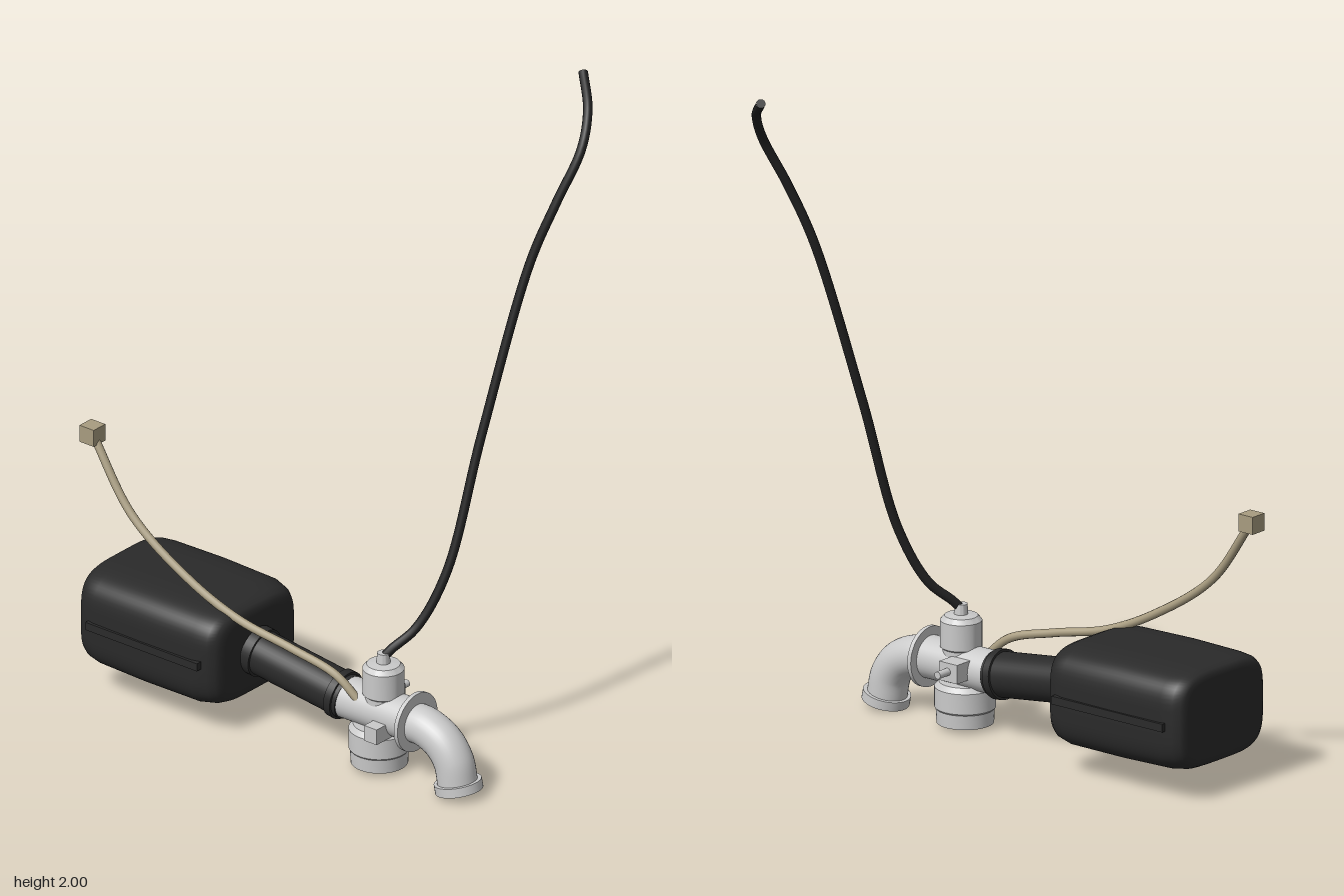
import * as THREE from 'three';
import { toCreasedNormals } from 'three/addons/utils/BufferGeometryUtils.js';

const V = (x, y, z) => new THREE.Vector3(x, y, z);
const Z0 = 0.243; // shared centre plane of filter, duct and carburettor

export function createModel() {
  const group = new THREE.Group();
  const rubber = new THREE.MeshStandardMaterial({ name: 'black rubber', color: 0x2a2a2a });
  const cableBlack = new THREE.MeshStandardMaterial({ name: 'black cable', color: 0x222222 });
  const metal = new THREE.MeshStandardMaterial({ name: 'light grey metal', color: 0xcacaca });
  const beige = new THREE.MeshStandardMaterial({ name: 'beige hose', color: 0xa89c80 });

  const add = (name, geometry, material) => {
    const mesh = new THREE.Mesh(geometry, material);
    mesh.name = name;
    group.add(mesh);
    return mesh;
  };
  const box = (name, w, h, d, x, y, z, material) =>
    add(name, new THREE.BoxGeometry(w, h, d), material).position.set(x, y, z);
  // Cylinder running between two points
  const rod = (name, a, b, r, material) => {
    const dir = b.clone().sub(a);
    const mesh = add(name, new THREE.CylinderGeometry(r, r, dir.length(), 40), material);
    mesh.position.copy(a).add(b).multiplyScalar(0.5);
    mesh.quaternion.setFromUnitVectors(V(0, 1, 0), dir.normalize());
  };
  // Upright turned part from [radius, y] pairs
  const turned = (name, profile, x) => {
    const points = profile.map(([r, y]) => new THREE.Vector2(r, y));
    const geometry = toCreasedNormals(new THREE.LatheGeometry(points, 40), 0.5);
    add(name, geometry, metal).position.set(x, 0, Z0);
  };
  // Round hose through points, with closed ends
  const hose = (name, points, r, material) => {
    const curve = new THREE.CatmullRomCurve3(points.map((p) => V(...p)));
    add(name, new THREE.TubeGeometry(curve, 90, r, 12), material);
    for (const t of [0, 1]) {
      const cap = add(name + 'End', new THREE.CircleGeometry(r, 12), material);
      cap.position.copy(curve.getPoint(t));
      cap.quaternion.setFromUnitVectors(V(0, 0, 1), curve.getTangent(t).multiplyScalar(t ? 1 : -1));
    }
  };

  // Air filter box: rounded sections [x, centre y, half height, half depth]
  add('airFilterBox', loft([
    [-0.638, 0.24, 0.115, 0.155], [-0.637, 0.24, 0.128, 0.172], [-0.63, 0.24, 0.139, 0.184],
    [-0.61, 0.238, 0.146, 0.196], [-0.57, 0.236, 0.15, 0.204], [-0.4, 0.235, 0.153, 0.207],
    [-0.21, 0.233, 0.151, 0.204], [-0.165, 0.232, 0.143, 0.191], [-0.145, 0.232, 0.135, 0.176],
    [-0.138, 0.232, 0.122, 0.16], [-0.136, 0.232, 0.105, 0.14],
  ]), rubber);
  for (const side of [-1, 1])
    box('filterSideRib', 0.41, 0.024, 0.03, -0.385, 0.236, Z0 + side * 0.198, rubber);

  // Intake duct with a clamp at each end
  const ductStart = V(-0.16, 0.229, Z0), ductEnd = V(0.205, 0.183, Z0);
  const along = (t) => ductStart.clone().lerp(ductEnd, t);
  rod('intakeDuct', ductStart, ductEnd, 0.066, rubber);
  rod('ductClamp', along(0.06), along(0.145), 0.073, rubber);
  rod('ductClamp', along(0.9), along(0.965), 0.073, rubber);

  // Carburettor
  rod('carburettorBody', V(0.195, 0.185, Z0), V(0.445, 0.185, Z0), 0.063, metal);
  turned('floatBowl', [[0, 0.018], [0.082, 0.018], [0.084, 0.06], [0.088, 0.065],
    [0.088, 0.125], [0.075, 0.14], [0, 0.14]], 0.315);
  turned('throttleTop', [[0, 0.15], [0.054, 0.15], [0.054, 0.235], [0.06, 0.24],
    [0.06, 0.318], [0.048, 0.332], [0.02, 0.336], [0.018, 0.366], [0, 0.366]], 0.33);
  box('idleBlock', 0.046, 0.048, 0.07, 0.367, 0.155, 0.311, metal);
  box('chokeBlock', 0.066, 0.056, 0.07, 0.288, 0.195, 0.17, metal);
  rod('chokeLever', V(0.29, 0.197, 0.15), V(0.29, 0.197, 0.09), 0.011, metal);

  // Intake manifold
  rod('manifoldFlange', V(0.442, 0.185, Z0), V(0.455, 0.185, Z0), 0.089, metal);
  const elbow = new THREE.CatmullRomCurve3([V(0.44, 0.183, Z0), V(0.49, 0.18, Z0),
    V(0.55, 0.153, Z0), V(0.588, 0.105, Z0), V(0.604, 0.035, Z0)]);
  add('manifoldElbow', new THREE.TubeGeometry(elbow, 32, 0.058, 32), metal);
  rod('engineFlange', V(0.603, 0.047, Z0), V(0.609, 0.02, Z0), 0.069, metal);

  // Throttle cable
  hose('throttleCable', [[0.33, 0.35, 0.243], [0.345, 0.375, 0.225], [0.39, 0.435, 0.17],
    [0.443, 0.6, 0.1], [0.473, 1, -0.02], [0.522, 1.5, -0.175], [0.565, 1.68, -0.24],
    [0.595, 1.83, -0.315], [0.565, 1.92, -0.38], [0.49, 1.99, -0.45]], 0.0135, cableBlack);

  // Fuel hose with its end block
  hose('fuelHose', [[0.275, 0.21, 0.285], [0.2, 0.275, 0.298], [0.05, 0.318, 0.316],
    [-0.13, 0.36, 0.335], [-0.3, 0.44, 0.351], [-0.5, 0.58, 0.358], [-0.655, 0.785, 0.346]], 0.0125, beige);
  box('fuelHoseBlock', 0.052, 0.052, 0.052, -0.655, 0.785, 0.346, beige);

  return group;
}

// Closed skin over rounded-rectangle sections stacked along x
function loft(sections, n = 64) {
  const pos = [], index = [];
  const soft = (v) => Math.sign(v) * Math.abs(v) ** 0.5;
  for (const [x, y, h, d] of sections)
    for (let j = 0; j < n; j++) {
      const t = (j / n) * Math.PI * 2;
      pos.push(x, y + h * soft(Math.cos(t)), Z0 + d * soft(Math.sin(t)));
    }
  const last = sections.length - 1, c0 = pos.length / 3;
  for (const s of [sections[0], sections[last]]) pos.push(s[0], s[1], Z0);
  for (let j = 0; j < n; j++) {
    const k = (j + 1) % n;
    for (let i = 0; i < last; i++) {
      const a = i * n + j, b = i * n + k;
      index.push(a, b, a + n, b, b + n, a + n);
    }
    index.push(c0, k, j, c0 + 1, last * n + j, last * n + k);
  }
  const geometry = new THREE.BufferGeometry();
  geometry.setAttribute('position', new THREE.Float32BufferAttribute(pos, 3));
  geometry.setIndex(index);
  geometry.computeVertexNormals();
  return geometry;
}
